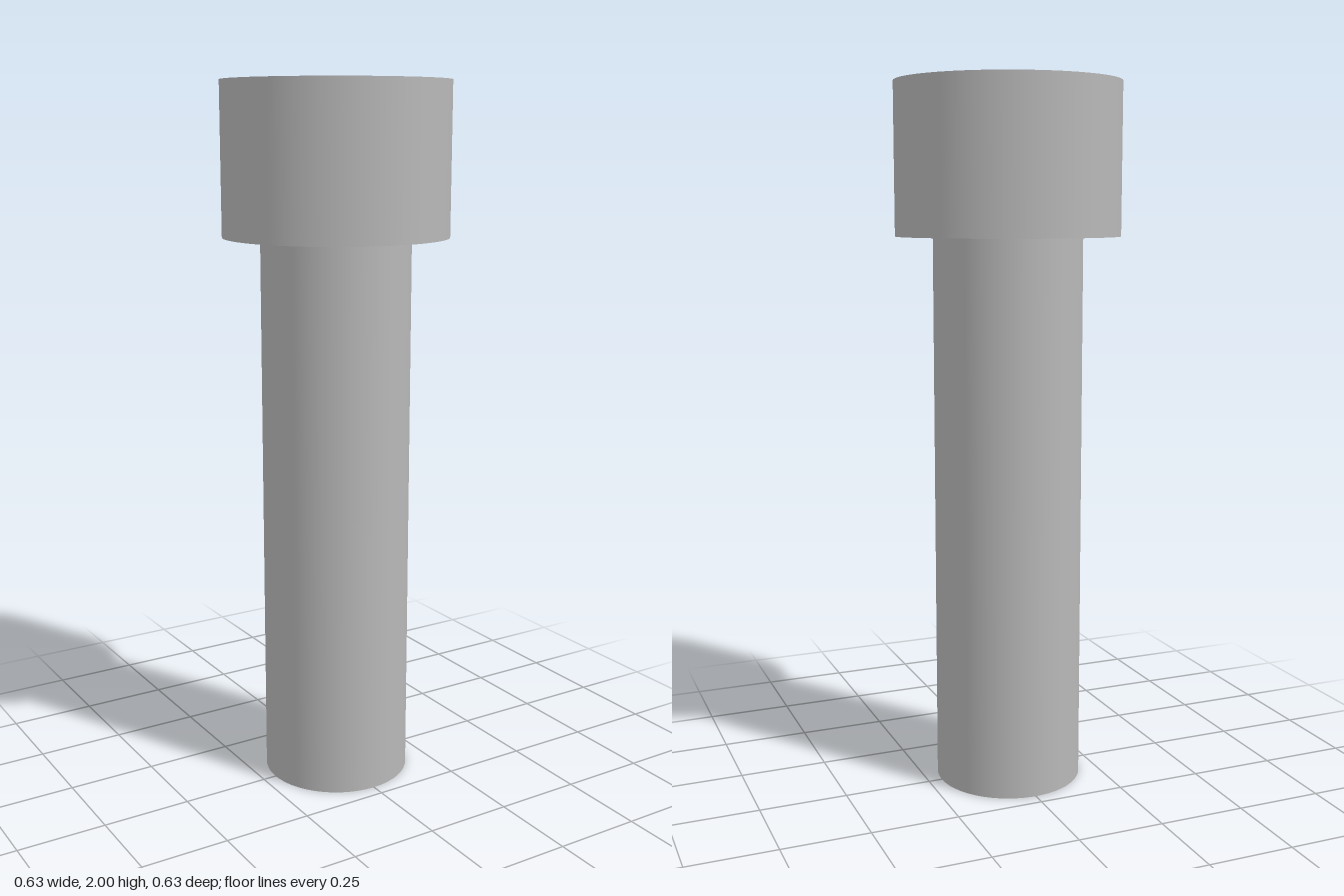
import * as THREE from 'three';

const HEIGHT = 2, HEAD_BASE = 1.579, HEAD_R = 0.3158, SHAFT_R = 0.2105;
const HEX_R = 0.2026, SOCKET_DEPTH = 0.21, SEGMENTS = 96;

export function createModel() {
  const group = new THREE.Group();
  const steel = new THREE.MeshStandardMaterial({ color: 0xb8b8b8 });
  steel.name = 'steel grey';

  const add = (name, geometry, y) => {
    const mesh = new THREE.Mesh(geometry, steel);
    mesh.name = name;
    mesh.position.y = y;
    group.add(mesh);
  };

  // Plain cylindrical shaft
  add('shaft', new THREE.CylinderGeometry(SHAFT_R, SHAFT_R, HEAD_BASE, SEGMENTS), HEAD_BASE / 2);

  // Head: outer wall, underside ring and top face with a hexagonal opening
  const headHeight = HEIGHT - HEAD_BASE;
  add('headWall', new THREE.CylinderGeometry(HEAD_R, HEAD_R, headHeight, SEGMENTS, 1, true), HEAD_BASE + headHeight / 2);
  add('headUnderside', new THREE.RingGeometry(SHAFT_R, HEAD_R, SEGMENTS).rotateX(Math.PI / 2), HEAD_BASE);

  const hexPoints = Array.from({ length: 6 }, (_, i) => {
    const a = Math.PI / 2 + i * Math.PI / 3;
    return new THREE.Vector2(HEX_R * Math.cos(a), HEX_R * Math.sin(a));
  });
  const top = new THREE.Shape().absarc(0, 0, HEAD_R, 0, Math.PI * 2);
  top.holes.push(new THREE.Path(hexPoints).closePath());
  add('headTop', new THREE.ShapeGeometry(top, SEGMENTS).rotateX(-Math.PI / 2), HEIGHT);

  // Hex socket: mirrored prism so that its flat walls face inward
  const walls = new THREE.CylinderGeometry(HEX_R, HEX_R, SOCKET_DEPTH, 6, 1, true).toNonIndexed();
  walls.scale(-1, 1, 1);
  walls.computeVertexNormals();
  add('socketWalls', walls, HEIGHT - SOCKET_DEPTH / 2);
  add('socketFloor', new THREE.ShapeGeometry(new THREE.Shape(hexPoints)).rotateX(-Math.PI / 2), HEIGHT - SOCKET_DEPTH);

  return group;
}
